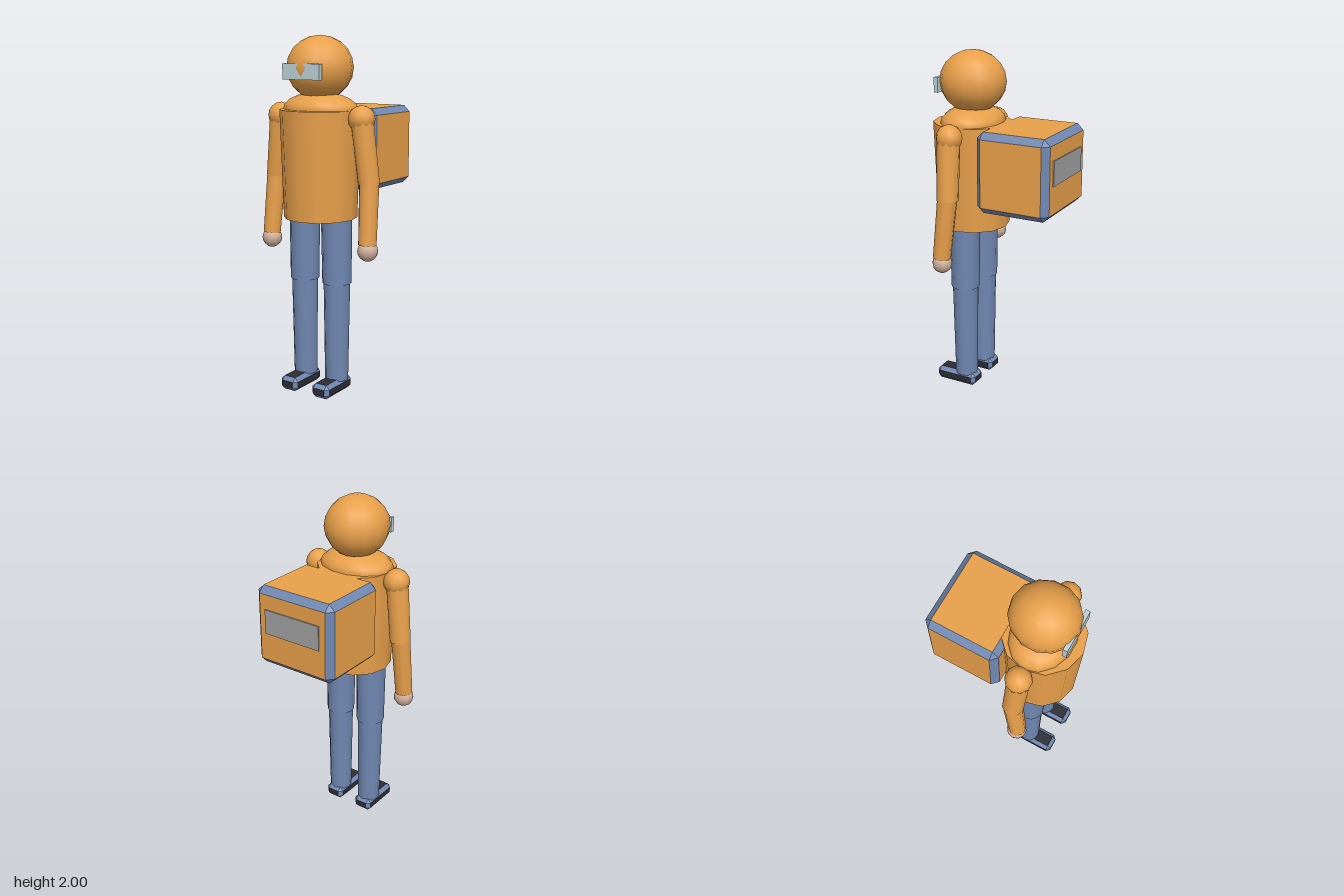
import * as THREE from 'three';
import { ConvexGeometry } from 'three/addons/geometries/ConvexGeometry.js';

const mat = (color) => new THREE.MeshStandardMaterial({ color, side: THREE.DoubleSide });
const orange = mat(0xe8a04a);
const blue = mat(0x7088b2);
const dark = mat(0x2c2c34);
const skin = mat(0xd0b09c);
const glass = mat(0xbdd2d8);
const grey = mat(0xa0a0a0);

export function createModel() {
  const model = new THREE.Group();
  model.name = 'courier';

  const add = (name, geometry, material, x = 0, y = 0, z = 0) => {
    const mesh = new THREE.Mesh(geometry, material);
    mesh.name = name;
    mesh.position.set(x, y, z);
    model.add(mesh);
    return mesh;
  };

  // Tapered limb running from point a (top) to point b (bottom)
  const limb = (name, material, a, b, rTop, rBottom, sides) => {
    const top = new THREE.Vector3(...a);
    const bottom = new THREE.Vector3(...b);
    const axis = top.clone().sub(bottom);
    const mesh = add(name, new THREE.CylinderGeometry(rTop, rBottom, axis.length(), sides), material);
    mesh.position.copy(top).add(bottom).multiplyScalar(0.5);
    mesh.quaternion.setFromUnitVectors(new THREE.Vector3(0, 1, 0), axis.normalize());
  };

  // Box with chamfered edges: flat faces in one material, bevels in another
  const chamferBox = (name, [w, h, d], c, faceMat, edgeMat, x, y, z) => {
    const points = [];
    for (const sx of [-1, 1]) for (const sy of [-1, 1]) for (const sz of [-1, 1])
      for (let k = 0; k < 3; k++) {
        const p = [w / 2, h / 2, d / 2].map((s, i) => (i === k ? s : s - c));
        points.push(new THREE.Vector3(p[0] * sx, p[1] * sy, p[2] * sz));
      }
    const hull = new ConvexGeometry(points);
    const pos = hull.attributes.position;
    const normal = hull.attributes.normal;
    const faces = [];
    const edges = [];
    for (let i = 0; i < pos.count; i += 3) {
      const n = [normal.getX(i), normal.getY(i), normal.getZ(i)].map(Math.abs);
      const list = Math.max(...n) > 0.99 ? faces : edges;
      list.push(i, i + 1, i + 2);
    }
    hull.setIndex([...faces, ...edges]);
    hull.addGroup(0, faces.length, 0);
    hull.addGroup(faces.length, edges.length, 1);
    add(name, hull, [faceMat, edgeMat], x, y, z);
  };

  // Body
  add('torso', new THREE.CylinderGeometry(0.225, 0.206, 0.6, 12), orange, 0, 1.3, 0.18);
  add('shoulderYoke', new THREE.SphereGeometry(1, 14, 10), orange, 0, 1.6, 0.178)
    .scale.set(0.221, 0.095, 0.173);
  add('neck', new THREE.CylinderGeometry(0.09, 0.1, 0.12, 12), blue, 0, 1.66, 0.178);

  // Head with visor
  const helmet = add('helmet', new THREE.SphereGeometry(1, 14, 10), orange, 0, 1.825, 0.178);
  helmet.rotation.y = Math.PI / 2;
  helmet.scale.set(0.19, 0.175, 0.181);
  add('visor', new THREE.BoxGeometry(0.24, 0.085, 0.025), glass, 0, 1.807, 0.348);

  // Arms and legs, mirrored
  for (const s of [1, -1]) {
    const side = s > 0 ? 'left' : 'right';
    add(side + 'Shoulder', new THREE.SphereGeometry(0.074, 10, 8), orange, s * 0.268, 1.557, 0.178);
    limb(side + 'UpperArm', orange, [s * 0.27, 1.56, 0.18], [s * 0.31, 1.215, 0.17], 0.064, 0.061, 10);
    limb(side + 'Forearm', orange, [s * 0.313, 1.225, 0.17], [s * 0.325, 0.88, 0.205], 0.056, 0.051, 10);
    add(side + 'Hand', new THREE.SphereGeometry(0.057, 10, 8), skin, s * 0.326, 0.848, 0.203);

    limb(side + 'Thigh', blue, [s * 0.108, 1.02, 0.18], [s * 0.11, 0.635, 0.18], 0.087, 0.082, 12);
    limb(side + 'Shin', blue, [s * 0.11, 0.66, 0.18], [s * 0.108, 0.07, 0.18], 0.075, 0.066, 12);
    chamferBox(side + 'Shoe', [0.116, 0.08, 0.26], 0.022, dark, blue, s * 0.108, 0.042, 0.23);
  }

  // Delivery box on the back
  chamferBox('backBox', [0.508, 0.455, 0.436], 0.036, orange, blue, 0, 1.373, -0.184);
  add('backPlate', new THREE.BoxGeometry(0.36, 0.14, 0.012), grey, 0, 1.41, -0.403);

  return model;
}
